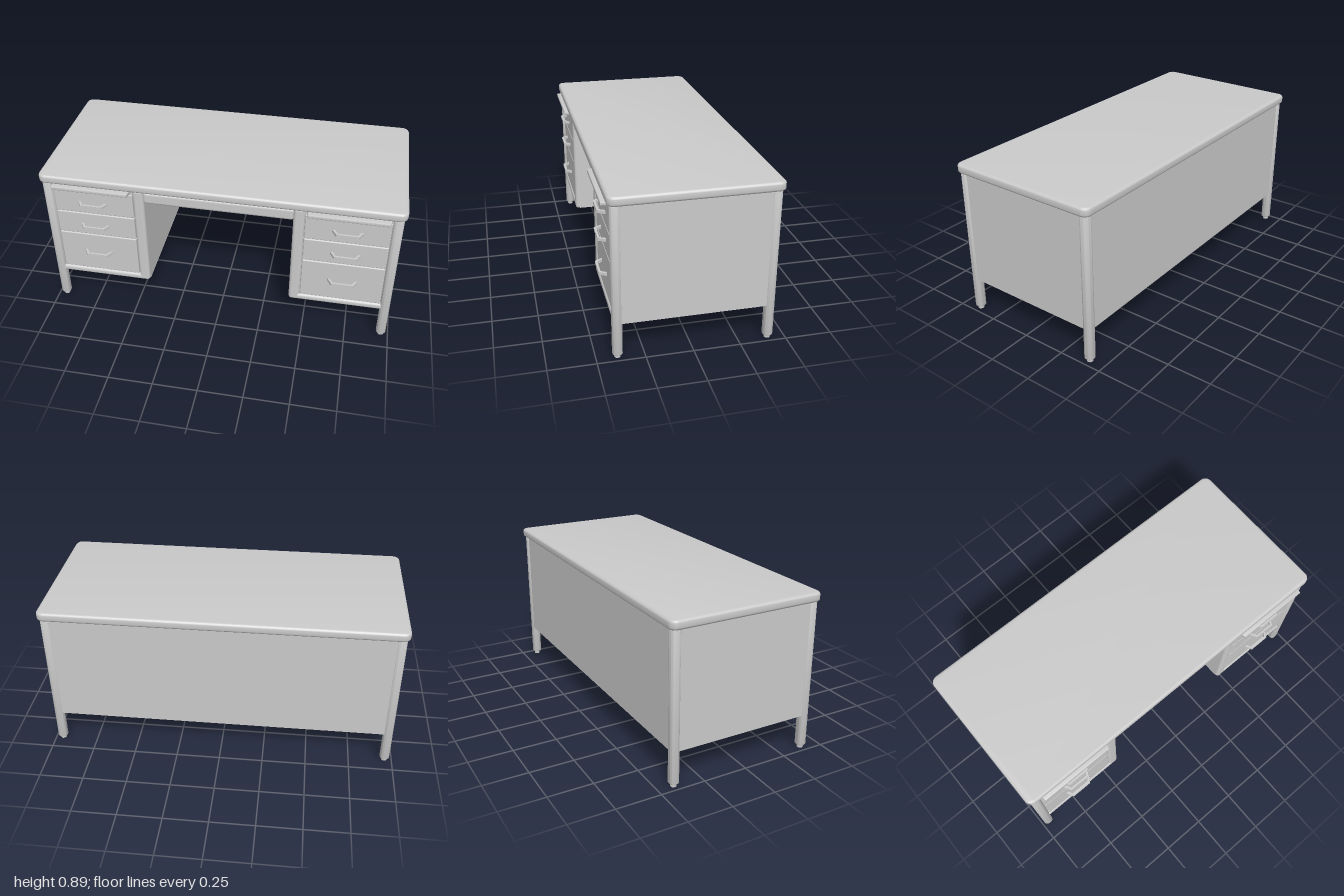
import * as THREE from 'three';
import { toCreasedNormals } from 'three/addons/utils/BufferGeometryUtils.js';
import { RoundedBoxGeometry } from 'three/addons/geometries/RoundedBoxGeometry.js';

const paint = new THREE.MeshStandardMaterial({ color: 0xcacaca });
paint.name = 'light grey enamel';

function add(parent, name, geometry, x = 0, y = 0, z = 0) {
  const mesh = new THREE.Mesh(geometry, paint);
  mesh.name = name;
  mesh.position.set(x, y, z);
  parent.add(mesh);
  return mesh;
}

// Box given by its limits, with optional rounded edges
function block(parent, name, [x0, x1], [y0, y1], [z0, z1], r = 0) {
  const w = x1 - x0, h = y1 - y0, d = z1 - z0;
  const g = r ? new RoundedBoxGeometry(w, h, d, 3, r) : new THREE.BoxGeometry(w, h, d);
  return add(parent, name, g, (x0 + x1) / 2, (y0 + y1) / 2, (z0 + z1) / 2);
}

function roundedRect(w, d, r) {
  const s = new THREE.Shape(), x = w / 2, y = d / 2;
  s.absarc(x - r, y - r, r, 0, Math.PI / 2);
  s.absarc(-x + r, y - r, r, Math.PI / 2, Math.PI);
  s.absarc(-x + r, -y + r, r, Math.PI, Math.PI * 1.5);
  s.absarc(x - r, -y + r, r, Math.PI * 1.5, Math.PI * 2);
  s.closePath();
  return s;
}

// Upright extrusion of a plan outline, standing on y = 0, with softened edges
function upright(shape, height, bevel) {
  const g = new THREE.ExtrudeGeometry(shape, {
    depth: height - 2 * bevel, curveSegments: 6, bevelEnabled: bevel > 0,
    bevelThickness: bevel, bevelSize: bevel, bevelOffset: -bevel, bevelSegments: 3,
  });
  g.rotateX(-Math.PI / 2).translate(0, bevel, 0);
  return toCreasedNormals(g, 0.7);
}

// Plan outline with tapered ends; wide side at the back
function taper(w, d, cut) {
  return [[-w / 2, 0], [-w / 2 + cut, -d], [w / 2 - cut, -d], [w / 2, 0]].map(([x, y]) => new THREE.Vector2(x, y));
}

function handleGeometry() {
  const s = new THREE.Shape(taper(0.17, 0.042, 0.025));
  s.holes.push(new THREE.Path(taper(0.14, 0.03, 0.018).map(p => p.add(new THREE.Vector2(0, -0.0005)))));
  return upright(s, 0.016, 0);
}

// Pedestal built on the +x side, x measured outward from the centre
function pedestal(side) {
  const g = new THREE.Group();
  g.name = side > 0 ? 'leftPedestal' : 'rightPedestal';
  const span = (a, b) => side > 0 ? [a, b] : [-b, -a];

  block(g, 'innerPanel', span(0.41, 0.43), [0.205, 0.845], [-0.415, 0.385]);
  block(g, 'sidePanel', span(0.955, 0.978), [0.2, 0.845], [-0.4, 0.385]);
  block(g, 'floorPanel', span(0.42, 0.965), [0.208, 0.225], [-0.415, 0.385]);
  block(g, 'drawerBacking', span(0.43, 0.955), [0.21, 0.845], [0.36, 0.385]);

  // Rounded front frame
  block(g, 'frontStile', span(0.41, 0.472), [0.2, 0.845], [0.355, 0.41], 0.018);
  block(g, 'bottomRail', span(0.412, 0.95), [0.2, 0.24], [0.36, 0.41], 0.016);
  block(g, 'topRail', span(0.45, 0.95), [0.8, 0.845], [0.36, 0.4]);

  // Drawers with handles: bottom, top, handle height
  const handle = handleGeometry();
  for (const [y0, y1, hy] of [[0.242, 0.498, 0.378], [0.502, 0.648, 0.572], [0.652, 0.81, 0.725]]) {
    block(g, 'drawerFront', span(0.474, 0.928), [y0, y1], [0.37, 0.405], 0.006);
    add(g, 'drawerHandle', handle, side * 0.705, hy - 0.008, 0.403);
  }

  // Pull-out writing board under the top
  const board = new THREE.Shape(taper(0.455, 0.085, 0.014));
  add(g, 'pullOutBoard', upright(board, 0.021, 0.004), side * 0.703, 0.822, 0.364);
  return g;
}

export function createModel() {
  const desk = new THREE.Group();
  desk.name = 'desk';

  add(desk, 'desktop', upright(roundedRect(2, 0.88, 0.04), 0.05, 0.013), 0, 0.845, -0.01);

  // Corner legs on small round feet
  const leg = upright(roundedRect(0.055, 0.053, 0.022), 0.827, 0.004);
  const foot = new THREE.CylinderGeometry(0.017, 0.017, 0.022, 16);
  for (const x of [-0.958, 0.958]) {
    for (const z of [0.39, -0.409]) {
      add(desk, z > 0 ? 'frontLeg' : 'backLeg', leg, x, 0.019, z);
      add(desk, 'foot', foot, x, 0.011, z);
    }
  }

  desk.add(pedestal(1), pedestal(-1));

  // Back panel and the knee space
  block(desk, 'backPanel', [-0.945, 0.945], [0.2, 0.846], [-0.428, -0.41]);
  block(desk, 'backBottomRail', [-0.945, 0.945], [0.2, 0.24], [-0.42, -0.38], 0.012);
  block(desk, 'kneeRail', [-0.415, 0.415], [0.76, 0.835], [0.36, 0.405], 0.018);
  block(desk, 'kneeTopRail', [-0.415, 0.415], [0.82, 0.846], [0.36, 0.395]);
  return desk;
}
